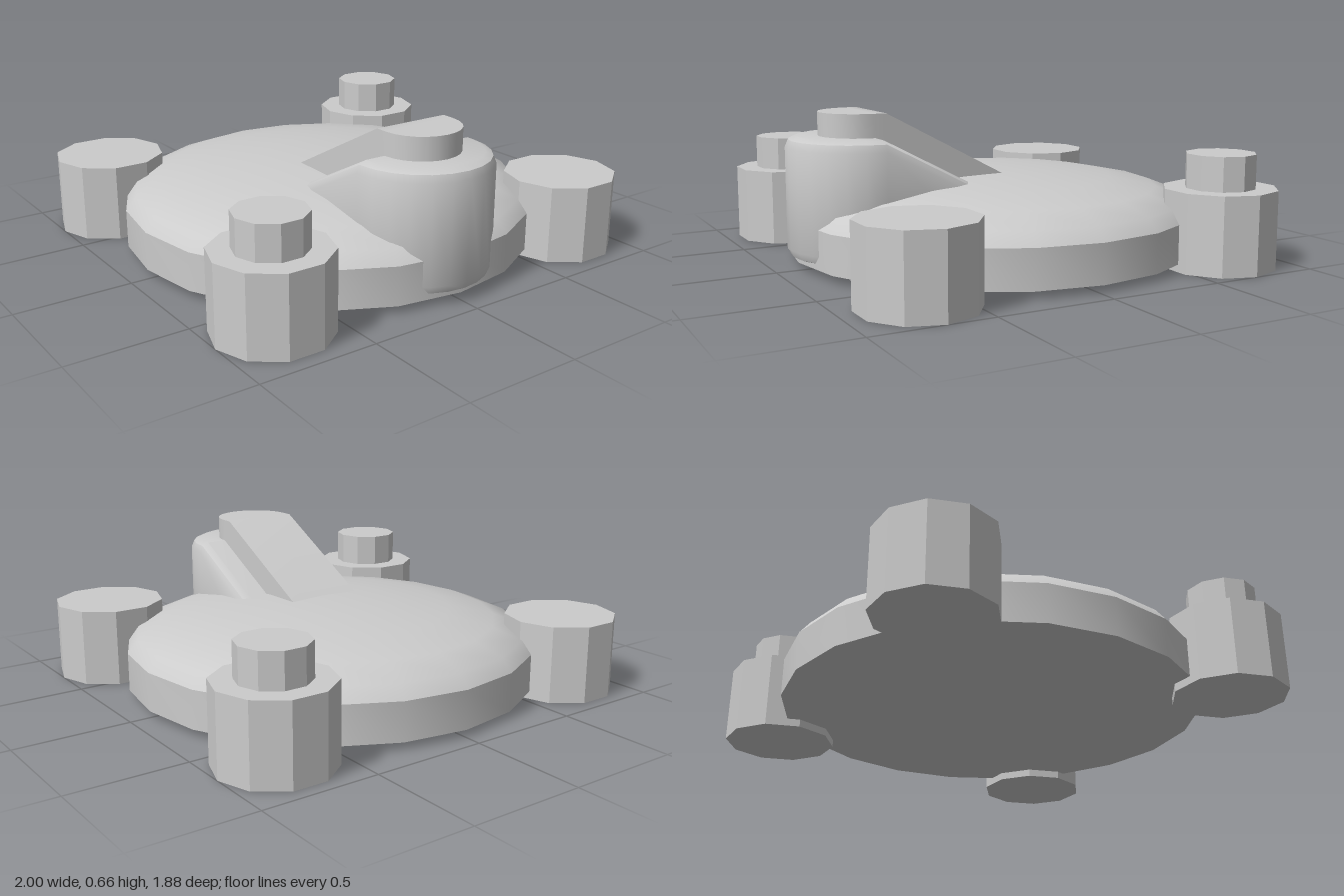
import * as THREE from 'three';
import { toCreasedNormals } from 'three/addons/utils/BufferGeometryUtils.js';

const material = new THREE.MeshStandardMaterial({ color: 0xcccccc });
const flatMaterial = new THREE.MeshStandardMaterial({ color: 0xcccccc, flatShading: true });

function addMesh(group, name, geometry, mat = material) {
  const mesh = new THREE.Mesh(geometry, mat);
  mesh.name = name;
  group.add(mesh);
  return mesh;
}

// U-shaped block: rounded at the front, with a top that slopes down behind the ridge
function slopedBlock({ radius, centreZ, ridgeZ, backZ, bottom, top, slope, bevel }) {
  const arcSteps = 6;
  const topAt = z => top - Math.max(0, ridgeZ - z) * slope;

  // one closed loop, +x side back to front, then -x side front to back
  function loop(inset, height) {
    const r = radius - inset;
    const side = [[r, backZ], [r, ridgeZ]];
    for (let i = 0; i <= arcSteps; i++) {
      const a = (i / arcSteps) * Math.PI / 2;
      side.push([r * Math.cos(a), centreZ + r * Math.sin(a)]);
    }
    const other = side.slice(0, -1).reverse().map(([x, z]) => [-x, z]);
    return [...side, ...other].map(([x, z]) => new THREE.Vector3(x, height(z), z));
  }

  const loops = [
    loop(bevel, () => bottom),
    loop(bevel * 0.3, () => bottom + bevel * 0.3),
    loop(0, () => bottom + bevel),
    loop(0, z => topAt(z) - bevel),
    loop(bevel * 0.3, z => topAt(z) - bevel * 0.3),
    loop(bevel, topAt)
  ];
  const positions = [];
  const triangle = (a, b, c) => {
    const area = b.clone().sub(a).cross(c.clone().sub(a)).length();
    if (area > 1e-8) for (const p of [a, b, c]) positions.push(p.x, p.y, p.z);
  };
  const quad = (a, b, c, d) => { triangle(a, b, c); triangle(a, c, d); };

  const n = loops[0].length;
  for (let k = 0; k < loops.length - 1; k++) {
    const low = loops[k], high = loops[k + 1];
    for (let j = 0; j < n; j++) {
      const next = (j + 1) % n;
      quad(low[j], high[j], high[next], low[next]);
    }
  }
  // caps made of strips across the width
  const floor = loops[0], roof = loops[loops.length - 1];
  for (let i = 0; i < (n - 1) / 2; i++) {
    const m = n - 1 - i;
    quad(roof[i], roof[m], roof[m - 1], roof[i + 1]);
    quad(floor[i], floor[i + 1], floor[m - 1], floor[m]);
  }
  const geometry = new THREE.BufferGeometry();
  geometry.setAttribute('position', new THREE.Float32BufferAttribute(positions, 3));
  return toCreasedNormals(geometry, 0.6);
}

export function createModel() {
  const model = new THREE.Group();
  model.name = 'domedPlate';

  // round plate with a straight rim and a shallow dome
  const profile = [[0, 0.033], [0.917, 0.033], [0.917, 0.2]];
  const rows = 5;
  for (let i = 1; i <= rows; i++) {
    const a = (i / rows) * Math.PI / 2;
    profile.push([i === rows ? 0 : 0.917 * Math.cos(a), 0.2 + 0.18 * Math.sin(a)]);
  }
  const plate = new THREE.LatheGeometry(profile.map(p => new THREE.Vector2(...p)), 20);
  addMesh(model, 'dome', toCreasedNormals(plate, 0.6)).position.z = -0.013;

  // four ten-sided corner posts, studs on one diagonal pair
  for (const sx of [-1, 1]) {
    for (const z of [-0.707, 0.697]) {
      const corner = new THREE.Group();
      corner.name = 'cornerPost';
      corner.position.set(sx * 0.755, 0, z);
      const post = new THREE.CylinderGeometry(0.245, 0.245, 0.338, 10);
      post.rotateY(Math.PI / 2).translate(0, 0.169, 0);
      addMesh(corner, 'post', post, flatMaterial);
      if (sx * z < 0) {
        const stud = new THREE.CylinderGeometry(0.15, 0.15, 0.165, 10);
        stud.rotateY(Math.PI / 2).translate(0, 0.4025, 0);
        addMesh(corner, 'stud', stud, flatMaterial);
      }
      model.add(corner);
    }
  }

  // rounded housing at the front edge
  addMesh(model, 'housing', slopedBlock({
    radius: 0.31, centreZ: 0.625, ridgeZ: 0.62, backZ: 0.19,
    bottom: 0.045, top: 0.56, slope: 0.52, bevel: 0.045
  }));

  // narrower sloped ridge rising through the housing
  addMesh(model, 'ridge', slopedBlock({
    radius: 0.173, centreZ: 0.625, ridgeZ: 0.57, backZ: -0.02,
    bottom: 0.2, top: 0.66, slope: 0.527, bevel: 0
  }));

  return model;
}
